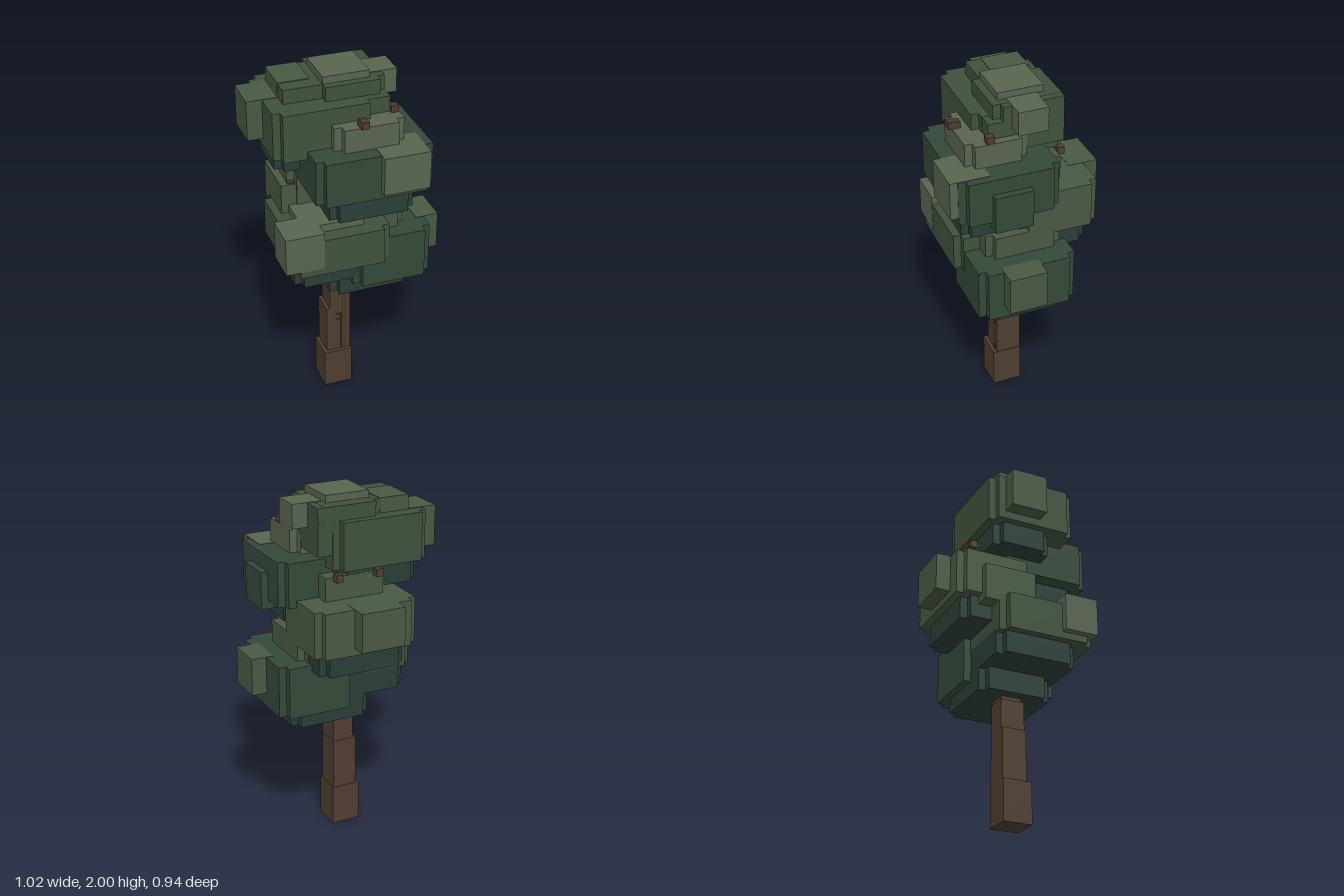
import * as THREE from 'three';

const E = 0.0425; // notch size at the clump corners
const COLORS = { bark: 0x4f3d30, barkDark: 0x46362b, deep: 0x2a3e37, dark: 0x334939, mid: 0x3f523c, olive: 0x485942, pale: 0x586450 };

export function createModel() {
  const tree = new THREE.Group();
  tree.name = 'tree';
  const mats = {};
  for (const k in COLORS) mats[k] = new THREE.MeshStandardMaterial({ color: COLORS[k], flatShading: true });

  // Box given by its limits on each axis
  const box = (name, color, [x0, x1], [y0, y1], [z0, z1], parent = tree) => {
    const m = new THREE.Mesh(new THREE.BoxGeometry(x1 - x0, y1 - y0, z1 - z0), mats[color]);
    m.position.set((x0 + x1) / 2, (y0 + y1) / 2, (z0 + z1) / 2);
    m.name = name;
    parent.add(m);
  };

  // Leaf mass with notched vertical corners: two crossing boxes
  const clump = (name, color, x, y, z) => {
    const g = new THREE.Group();
    g.name = name;
    box(name + 'Wide', color, x, y, [z[0] + E, z[1] - E], g);
    box(name + 'Deep', color, [x[0] + E, x[1] - E], y, z, g);
    tree.add(g);
  };

  // Trunk, stepping inwards towards the crown
  box('trunkBase', 'bark', [-0.125, 0.04], [0, 0.235], [-0.04, 0.127]);
  box('trunkMiddle', 'bark', [-0.105, 0.037], [0.235, 0.53], [-0.037, 0.105]);
  box('trunkUpper', 'bark', [-0.085, 0.035], [0.53, 0.7], [-0.035, 0.105]);
  box('trunkTop', 'bark', [-0.06, 0.06], [0.68, 0.78], [-0.02, 0.1]);
  box('barkStrip', 'barkDark', [-0.02, 0.01], [0.235, 0.7], [0.1, 0.107]);
  for (const y of [0.435, 0.47]) box('knot', 'barkDark', [-0.05, -0.025], [y, y + 0.015], [0.1, 0.109]);

  // Lowest leaves
  clump('bottomLeaves', 'deep', [-0.125, 0.34], [0.73, 0.87], [-0.17, 0.255]);
  clump('lowerLeftLeaves', 'dark', [-0.02, 0.425], [0.815, 1.105], [-0.21, 0.34]);
  box('lowerLeftPad', 'dark', [0.1, 0.383], [0.857, 1.1], [-0.1, 0.335]);
  box('lowerLeftTuft', 'olive', [0.38, 0.51], [0.895, 1.108], [0, 0.21]);
  clump('lowerRightUnderside', 'deep', [-0.34, 0.06], [0.857, 1.0], [-0.17, 0.3]);
  clump('lowerRightLeaves', 'mid', [-0.385, 0.17], [0.98, 1.19], [-0.17, 0.385]);
  box('lowerRightTuft', 'pale', [-0.425, -0.21], [1.02, 1.235], [0.19, 0.387]);
  box('lowerRightCap', 'pale', [-0.3, 0.04], [1.15, 1.235], [0.0, 0.3]);
  box('rightShelf', 'olive', [-0.34, -0.1], [1.15, 1.36], [-0.25, 0.05]);

  // Back leaves
  clump('backUnderside', 'deep', [-0.25, 0.25], [1.07, 1.2], [-0.34, 0.05]);
  clump('backLeaves', 'olive', [-0.297, 0.297], [1.195, 1.45], [-0.385, 0.06]);
  box('backTuft', 'olive', [-0.17, 0.085], [1.235, 1.452], [-0.468, -0.3]);
  clump('leftFiller', 'olive', [0, 0.297], [1.09, 1.235], [-0.17, 0.25]);
  box('backPanel', 'olive', [-0.17, 0.17], [1.44, 1.58], [-0.212, -0.1]);

  // Middle leaves leaning forwards
  clump('middleUnderside', 'deep', [-0.17, 0.297], [1.28, 1.42], [0, 0.385]);
  clump('middleLeaves', 'dark', [-0.255, 0.385], [1.41, 1.66], [-0.127, 0.425]);
  box('middleLeftPad', 'dark', [0.3, 0.425], [1.365, 1.575], [0.045, 0.255]);
  box('middleFrontTuft', 'pale', [0.085, 0.34], [1.45, 1.663], [0.25, 0.468]);
  clump('middleCap', 'pale', [-0.127, 0.255], [1.64, 1.79], [0, 0.34]);

  // Upper leaves leaning to the right
  clump('upperUnderside', 'deep', [-0.385, 0.08], [1.49, 1.63], [-0.21, 0.127]);
  clump('upperLeaves', 'mid', [-0.425, 0.127], [1.615, 1.88], [-0.255, 0.255]);
  box('upperLeftLeaves', 'mid', [0, 0.21], [1.7, 1.878], [-0.21, 0.21]);
  box('upperRightTuft', 'olive', [-0.51, -0.3], [1.66, 1.883], [-0.17, 0.04]);
  box('upperCapRight', 'mid', [-0.34, 0.17], [1.86, 1.958], [-0.17, 0.125]);
  box('upperCapLeft', 'mid', [-0.127, 0.17], [1.86, 1.96], [-0.21, 0.17]);
  box('upperCapSide', 'mid', [0, 0.21], [1.86, 1.959], [-0.208, 0.127]);
  box('upperRightCapPatch', 'olive', [-0.342, -0.17], [1.87, 1.962], [-0.172, 0.04]);
  box('upperLeftTuft', 'pale', [0.125, 0.297], [1.83, 1.963], [-0.085, 0.08]);
  box('crownCap', 'pale', [-0.127, 0.127], [1.94, 2], [-0.127, 0.127]);

  // Twigs: x, y and z of the lower corner
  const twigs = [
    [0, 1.785, 0.295], [0, 1.79, 0.32], [0.21, 1.785, 0.19],
    [0.085, 1.56, -0.255], [-0.15, 1.56, -0.255],
    [-0.3, 1.325, 0.0], [0.19, 1.215, 0.17],
  ];
  for (const [x, y, z] of twigs) box('twig', 'bark', [x, x + 0.04], [y, y + 0.042], [z, z + 0.042]);
  return tree;
}
